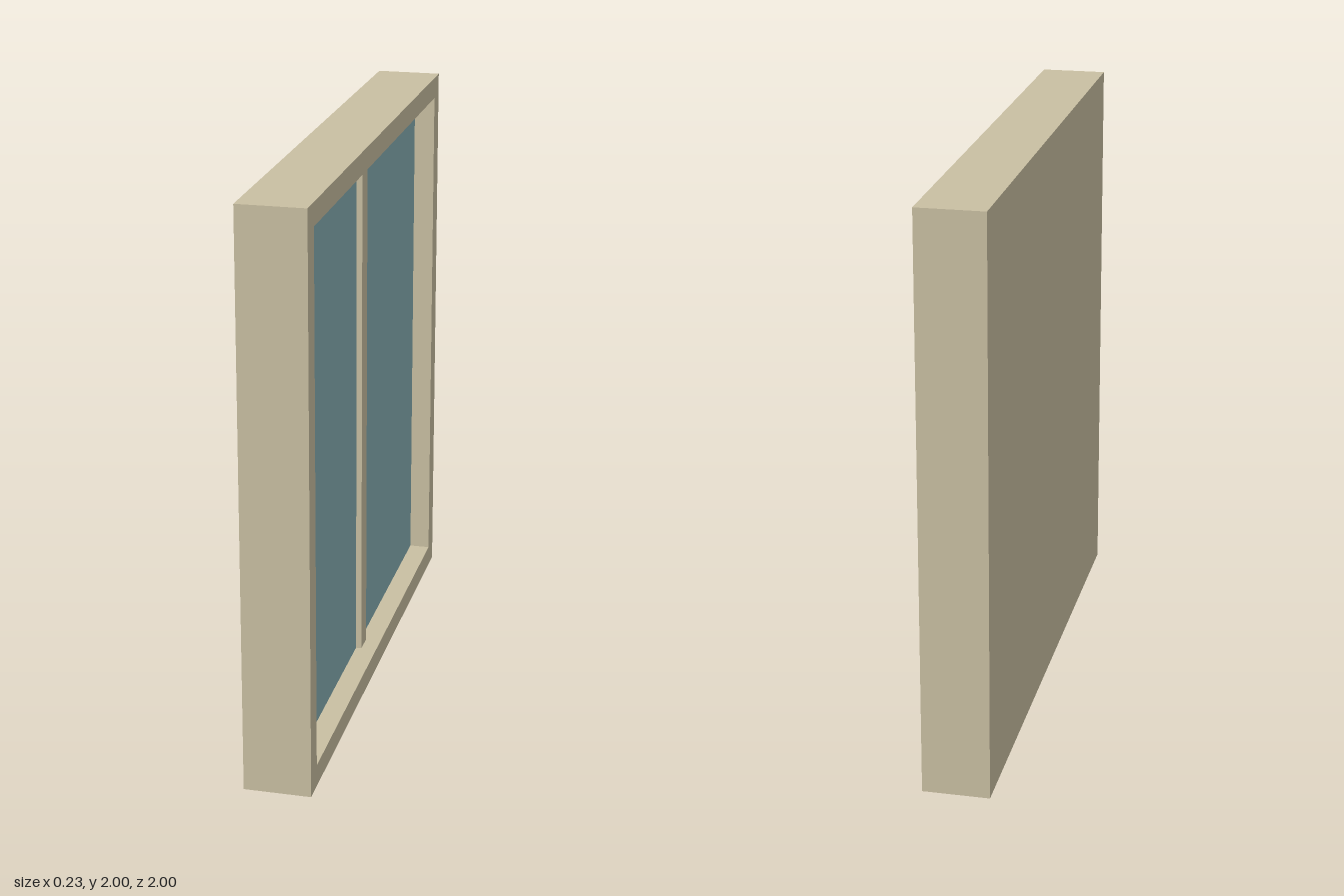
import * as THREE from 'three';

const U = 1 / 13;            // frame module: border width and recess depth
const DEPTH = 3 * U;         // overall thickness along x
const GLASS_X = DEPTH / 2 - U;

export function createModel() {
  const group = new THREE.Group();
  const frameMat = new THREE.MeshStandardMaterial({ color: 0xc9bfa2 });
  frameMat.name = 'frame beige';
  const glassMat = new THREE.MeshStandardMaterial({ color: 0x86aeb3 });
  glassMat.name = 'glass blue';

  const add = (name, geometry, material, x, y, z) => {
    const mesh = new THREE.Mesh(geometry, material);
    mesh.name = name;
    mesh.position.set(x, y, z);
    group.add(mesh);
  };

  // Solid back of the window block
  add('backPanel', new THREE.BoxGeometry(2 * U, 2, 2), frameMat, -U / 2, 1, 0);

  // Raised square border around the recess, opening towards +x
  const square = (s) => [[-s, -s], [s, -s], [s, s], [-s, s]].map(([x, y]) => new THREE.Vector2(x, y));
  const outline = new THREE.Shape(square(1));
  outline.holes.push(new THREE.Path(square(1 - U).reverse()));
  const border = new THREE.ExtrudeGeometry(outline, { depth: U, bevelEnabled: false });
  border.rotateY(Math.PI / 2);
  add('windowFrame', border, frameMat, GLASS_X, 1, 0);

  // Two panes either side of the mullion
  const paneWidth = 1 - 1.5 * U;
  for (const side of [1, -1]) {
    add(side > 0 ? 'frontPane' : 'backPane',
      new THREE.BoxGeometry(0.004, 2 - 2 * U, paneWidth), glassMat,
      GLASS_X, 1, side * (U / 2 + paneWidth / 2));
  }

  // Central upright bar, standing slightly proud of the glass
  add('mullion', new THREE.BoxGeometry(0.022, 2 - 2 * U, U), frameMat, GLASS_X + 0.011, 1, 0);

  return group;
}
